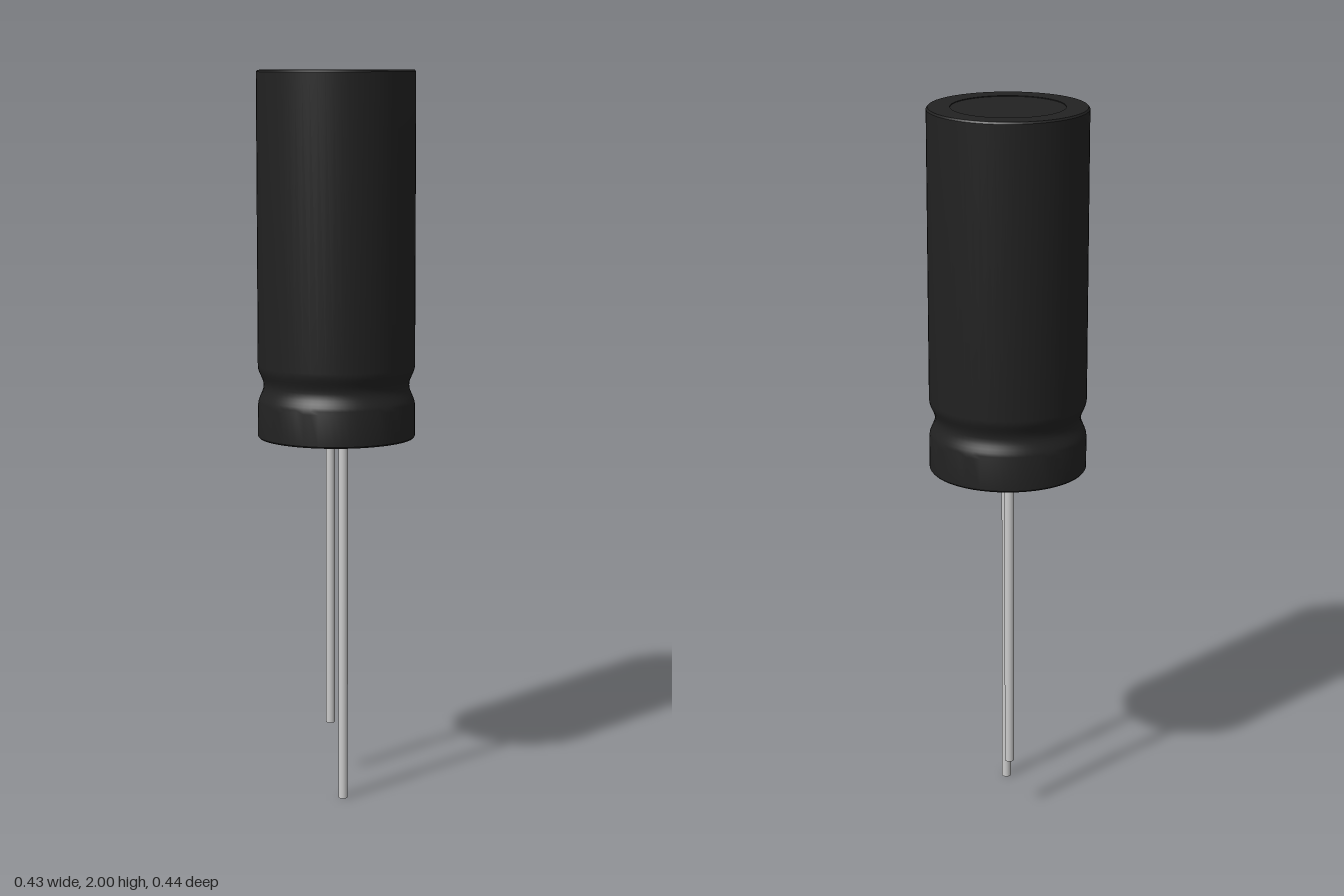
import * as THREE from 'three';
import { toCreasedNormals } from 'three/addons/utils/BufferGeometryUtils.js';

const SEGMENTS = 64;
const R = 0.216;          // can radius
const TILT = -0.0045;     // the can leans back very slightly

export function createModel() {
  const model = new THREE.Group();
  model.name = 'capacitor';
  const black = new THREE.MeshStandardMaterial({ color: 0x222222 });
  const rubber = new THREE.MeshStandardMaterial({ color: 0x161616 });
  const metal = new THREE.MeshStandardMaterial({ color: 0xcccccc });

  const add = (parent, name, geometry, material, x, y, z) => {
    const mesh = new THREE.Mesh(geometry, material);
    mesh.name = name;
    mesh.position.set(x, y, z);
    parent.add(mesh);
    return mesh;
  };

  // Can group: origin at the middle of its underside
  const can = new THREE.Group();
  can.name = 'can';
  can.position.set(0, 1, 0.004);
  can.rotation.x = TILT * 2;
  model.add(can);

  // Sleeve: straight wall, crimped groove near the base, rolled over the top
  const profile = [[0.185, 0.01], [0.185, 0], [R - 0.003, 0], [R, 0.004], [R, 0.09]];
  const steps = 12;
  for (let i = 1; i <= steps; i++) {
    const t = i / steps;
    profile.push([R - 0.016 * Math.sin(Math.PI * t) ** 2, 0.09 + 0.11 * t]);
  }
  profile.push([R, 0.995], [R - 0.004, 1], [0.153, 1], [0.153, 0.997]);
  const sleeve = new THREE.LatheGeometry(profile.map(([r, y]) => new THREE.Vector2(r, y)), SEGMENTS);
  add(can, 'sleeve', toCreasedNormals(sleeve, 0.6), black, 0, 0, 0);

  // Lid inside the sleeve rim, and the rubber bung underneath
  add(can, 'lid', new THREE.CylinderGeometry(0.153, 0.153, 0.02, SEGMENTS), black, 0, 0.988, 0);
  add(can, 'bung', new THREE.CylinderGeometry(0.186, 0.186, 0.03, SEGMENTS), rubber, 0, 0.024, 0);

  // Two wire leads, the front one longer
  for (const [name, z, bottom] of [['longLead', 0.115, 0], ['shortLead', -0.102, 0.155]]) {
    const length = 1.02 - bottom;
    add(model, name, new THREE.CylinderGeometry(0.013, 0.013, length, 20), metal, 0, bottom + length / 2, z);
  }
  return model;
}
